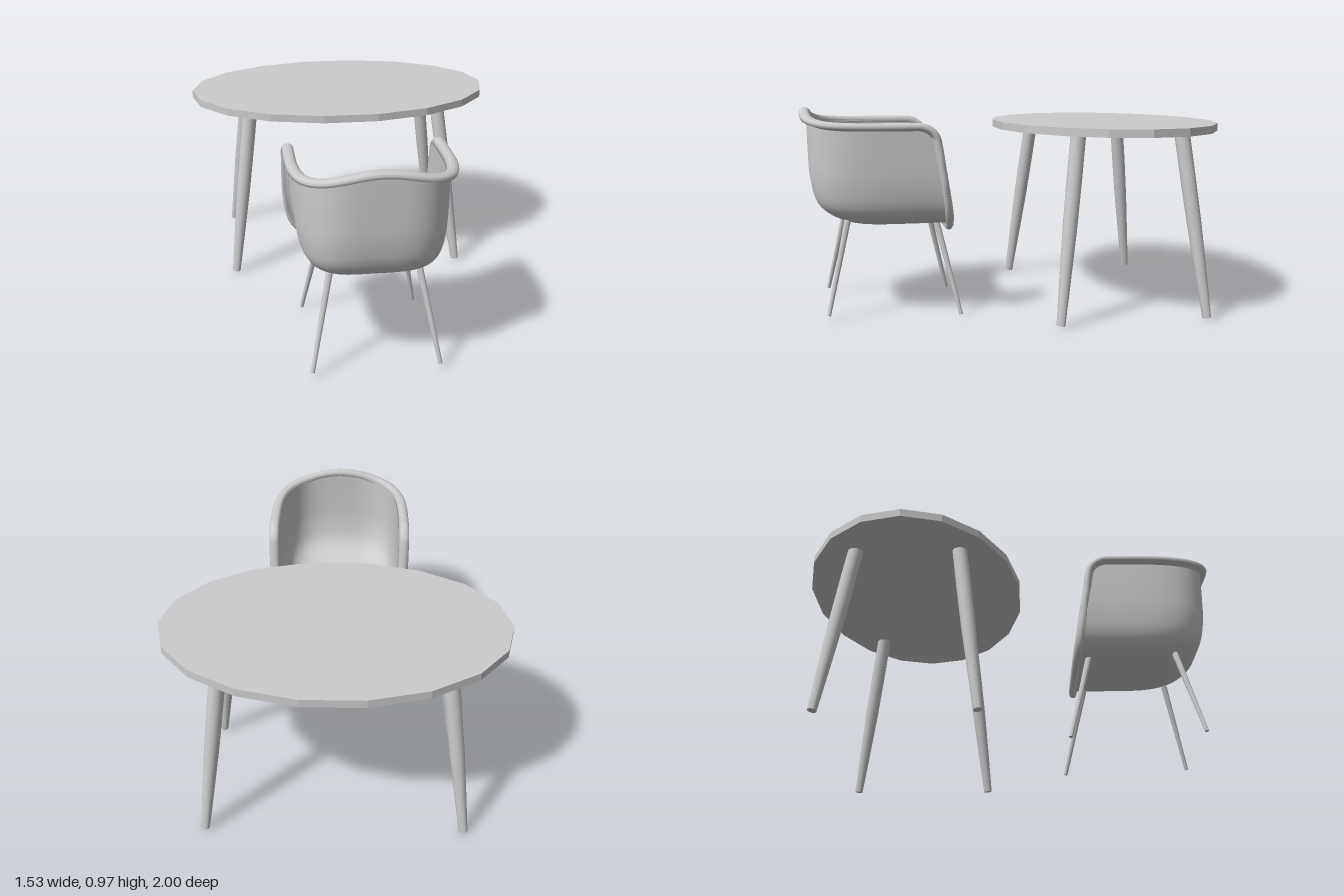
import * as THREE from 'three';
import { toCreasedNormals } from 'three/addons/utils/BufferGeometryUtils.js';

const smooth = new THREE.MeshStandardMaterial({ color: 0xcccccc });
const thin = new THREE.MeshStandardMaterial({ color: 0xcccccc, side: THREE.DoubleSide });
const faceted = new THREE.MeshStandardMaterial({ color: 0xcccccc, flatShading: true });
const V = (x, y, z) => new THREE.Vector3(x, y, z);

function add(parent, name, geometry, material) {
  const mesh = new THREE.Mesh(geometry, material);
  mesh.name = name;
  parent.add(mesh);
  return mesh;
}

// Surface from a grid of points; closed grids wrap both ways
function gridGeometry(rows, closed) {
  const n = rows.length, m = rows[0].length, index = [];
  const iMax = closed ? n : n - 1, jMax = closed ? m : m - 1;
  for (let i = 0; i < iMax; i++) {
    for (let j = 0; j < jMax; j++) {
      const i2 = (i + 1) % n, j2 = (j + 1) % m;
      const a = i * m + j, b = i2 * m + j, c = i2 * m + j2, d = i * m + j2;
      index.push(a, b, c, a, c, d);
    }
  }
  const g = new THREE.BufferGeometry().setFromPoints(rows.flat());
  g.setIndex(index);
  g.computeVertexNormals();
  return g;
}

// Round leg between two points; profile lists [radius, fraction of length from the foot]
function leg(parent, name, foot, top, profile) {
  const dir = top.clone().sub(foot), len = dir.length();
  const pts = [[0, 0], ...profile, [0, 1]].map(([r, f]) => new THREE.Vector2(r, f * len));
  const mesh = add(parent, name, toCreasedNormals(new THREE.LatheGeometry(pts, 16), 0.7), smooth);
  mesh.position.copy(foot);
  mesh.quaternion.setFromUnitVectors(V(0, 1, 0), dir.normalize());
}

// Shell contours from the seat floor to the rim: half width, back z, height fraction
const contours = new THREE.CatmullRomCurve3([
  V(0, 0.6, 0), V(0.1, 0.68, 0), V(0.2, 0.77, 0.02), V(0.265, 0.86, 0.09),
  V(0.3, 0.925, 0.2), V(0.32, 0.957, 0.42), V(0.325, 0.965, 0.7), V(0.325, 0.967, 1),
]);
const { lerp, clamp, smoothstep } = THREE.MathUtils;
const FLOOR = 0.422, BEND = 0.5, STRAIGHT = 0.35, N = 3.6;

// u runs 0..1 along the U-shaped plan from one arm round the back to the other, v from floor to rim
function shellPoint(u, v, inset = 0) {
  const t = 1 - Math.abs(2 * u - 1), side = u <= 0.5 ? 1 : -1;
  const k = contours.getPoint(v);
  const w = k.x * (1 - inset * 3.2), back = k.y - inset * k.z;
  let ex = 1, ez = 0, s = 1;
  if (t < STRAIGHT) s = Math.pow(t / STRAIGHT, 1.6);
  else {
    const a = (t - STRAIGHT) / (1 - STRAIGHT) * Math.PI / 2;
    const c = Math.max(0, Math.cos(a)), q = Math.sin(a);
    const r = Math.pow(c ** N + q ** N, -1 / N);
    ex = c * r;
    ez = q * r;
  }
  // Rim height: rounded arm fronts, raised back
  const zTop = s < 1 ? lerp(0.39, BEND, s) : BEND + 0.467 * ez;
  const d = clamp((0.47 - zTop) / 0.08, 0, 1);
  const h = 0.893 - 0.065 * (1 - Math.sqrt(1 - d * d))
    + 0.03 * (1 + Math.cos(Math.PI * ex * 0.325 / 0.36)) * smoothstep(zTop, 0.6, 0.95);
  const y = FLOOR + k.z * (h - FLOOR) + inset * (1 - k.z);
  const front = 0.315 + (y - FLOOR) * 0.17;
  const z = s < 1 ? lerp(front, BEND, s) : BEND + (back - BEND) * ez;
  return V(side * w * ex, y, z);
}

function shellNormal(u, v) {
  const e = 0.01;
  const du = shellPoint(Math.min(1, u + e), v).sub(shellPoint(Math.max(0, u - e), v));
  const dv = shellPoint(u, Math.min(1, v + e)).sub(shellPoint(u, Math.max(0, v - e)));
  const n = du.cross(dv).normalize();
  const out = shellPoint(u, v).sub(V(0, 0.75, 0.6));
  return n.dot(out) < 0 ? n.negate() : n;
}

function shellSheet(inset) {
  const rows = [];
  for (let i = 0; i <= 80; i++) {
    const row = [];
    for (let j = 0; j <= 28; j++) row.push(shellPoint(i / 80, j / 28, inset));
    rows.push(row);
  }
  return gridGeometry(rows, false);
}

// Flared lip swept round the whole open edge of the shell
function rimGeometry() {
  const uv = [];
  for (let j = 0; j < 28; j++) uv.push([0, j / 28]);
  for (let i = 0; i < 80; i++) uv.push([i / 80, 1]);
  for (let j = 28; j > 0; j--) uv.push([1, j / 28]);
  const path = uv.map(([u, v]) => shellPoint(u, v));
  // Section: [out from the shell, beyond its edge]
  const section = [[-0.018, -0.015], [-0.015, 0.006], [-0.004, 0.015], [0.014, 0.016],
    [0.028, 0.01], [0.034, 0], [0.031, -0.012], [0.022, -0.012], [0.008, -0.01], [0, -0.022]];
  const n = path.length;
  const rows = path.map((p, i) => {
    const tangent = path[(i + 1) % n].clone().sub(path[(i + n - 1) % n]).normalize();
    const out = shellNormal(...uv[i]);
    const edge = tangent.cross(out).normalize();
    return section.map(([a, b]) => p.clone().addScaledVector(out, a).addScaledVector(edge, b));
  });
  return gridGeometry(rows, true);
}

export function createModel() {
  const model = new THREE.Group();
  model.name = 'tableAndChair';

  // Table
  const table = new THREE.Group();
  table.name = 'table';
  model.add(table);
  const topGeo = new THREE.CylinderGeometry(1, 1, 0.036, 18).rotateY(Math.PI / 2).scale(0.767, 1, 0.533);
  add(table, 'tableTop', topGeo, faceted).position.set(0, 0.877, -0.475);
  const tableProfile = [[0.02, 0], [0.027, 0.25], [0.033, 0.5], [0.035, 0.75], [0.035, 1]];
  for (const sx of [1, -1]) {
    for (const sz of [1, -1]) {
      leg(table, 'tableLeg', V(sx * 0.585, 0.01, -0.475 + sz * 0.348),
        V(sx * 0.474, 0.865, -0.475 + sz * 0.245), tableProfile);
    }
  }

  // Tub chair, open towards the table
  const chair = new THREE.Group();
  chair.name = 'chair';
  model.add(chair);
  add(chair, 'shellOutside', shellSheet(0), thin);
  add(chair, 'shellInside', shellSheet(0.016), thin);
  add(chair, 'shellRim', rimGeometry(), thin);
  const chairProfile = [[0.009, 0], [0.015, 1]];
  for (const sx of [1, -1]) {
    leg(chair, 'chairFrontLeg', V(sx * 0.275, 0.002, 0.277), V(sx * 0.19, 0.432, 0.378), chairProfile);
    leg(chair, 'chairRearLeg', V(sx * 0.277, 0.027, 0.888), V(sx * 0.19, 0.46, 0.79), chairProfile);
  }
  return model;
}
